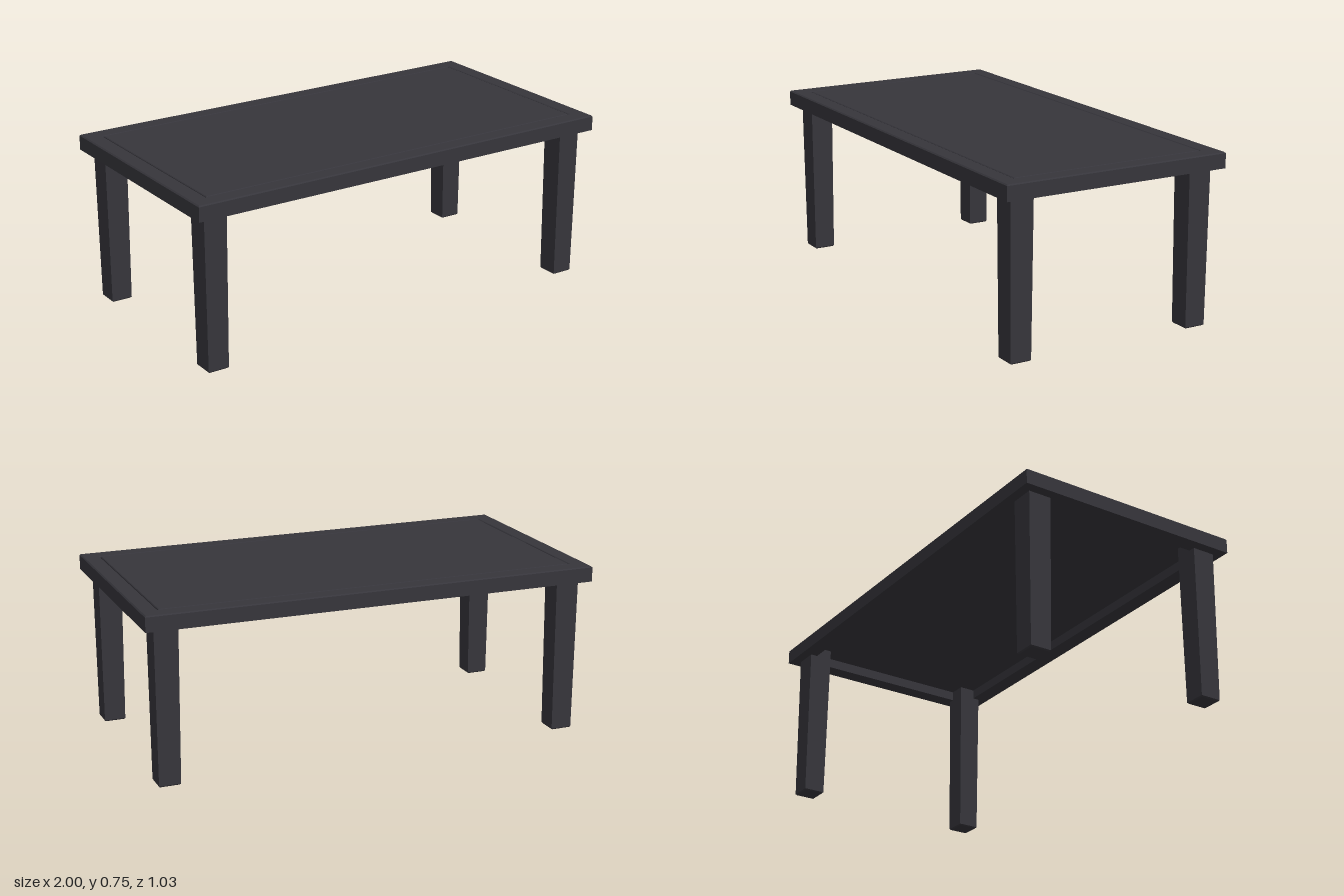
import * as THREE from 'three';

// Rectangular sweep: each ring is [half width x, half depth z, y], listed bottom, outside, top
function sweep(rings) {
  const corners = [[1, 1], [1, -1], [-1, -1], [-1, 1]];
  const positions = [];
  const at = ([hx, hz, y], i) => {
    const [sx, sz] = corners[i % 4];
    return new THREE.Vector3(sx * hx, y, sz * hz);
  };
  const triangle = (a, b, c) => {
    const area = b.clone().sub(a).cross(c.clone().sub(a)).length();
    if (area > 1e-9) for (const p of [a, b, c]) positions.push(p.x, p.y, p.z);
  };
  for (let r = 0; r < rings.length - 1; r++) {
    for (let i = 0; i < 4; i++) {
      const a = at(rings[r], i), b = at(rings[r], i + 1);
      const c = at(rings[r + 1], i + 1), d = at(rings[r + 1], i);
      triangle(a, b, c);
      triangle(a, c, d);
    }
  }
  const geometry = new THREE.BufferGeometry();
  geometry.setAttribute('position', new THREE.Float32BufferAttribute(positions, 3));
  geometry.computeVertexNormals();
  return geometry;
}

export function createModel() {
  const table = new THREE.Group();
  table.name = 'table';
  const charcoal = new THREE.MeshStandardMaterial({ color: 0x36353b });
  charcoal.name = 'charcoal';

  const add = (name, geometry, x = 0, z = 0) => {
    const mesh = new THREE.Mesh(geometry, charcoal);
    mesh.name = name;
    mesh.position.set(x, 0, z);
    table.add(mesh);
  };

  const W = 1, D = 0.515, under = 0.68, top = 0.748;
  const inset = (d, y) => [W - d, D - d, y];

  // Tabletop border with a small chamfer along the upper edges
  add('tabletopFrame', sweep([
    inset(0, under), inset(0, top - 0.005), inset(0.005, top),
    inset(0.07, top), inset(0.073, top - 0.003),
    inset(0.073, under), inset(0, under),
  ]));

  // Thin centre panel, with a narrow groove around it and a hollow underside
  add('tabletopPanel', sweep([
    [0, 0, 0.723], inset(0.073, 0.723), inset(0.073, top - 0.01),
    inset(0.077, top - 0.01), inset(0.077, top - 0.003),
    inset(0.08, top), [0, 0, top],
  ]));

  // Square legs, slightly tapered, with chamfered feet
  const leg = sweep([
    [0, 0, 0], [0.042, 0.042, 0], [0.047, 0.047, 0.005],
    [0.052, 0.052, 0.725], [0, 0, 0.725],
  ]);
  for (const [zName, sz] of [['front', 1], ['back', -1]]) {
    for (const [xName, sx] of [['Left', 1], ['Right', -1]]) {
      add(`${zName}${xName}Leg`, leg, sx * 0.904, sz * 0.421);
    }
  }
  return table;
}
